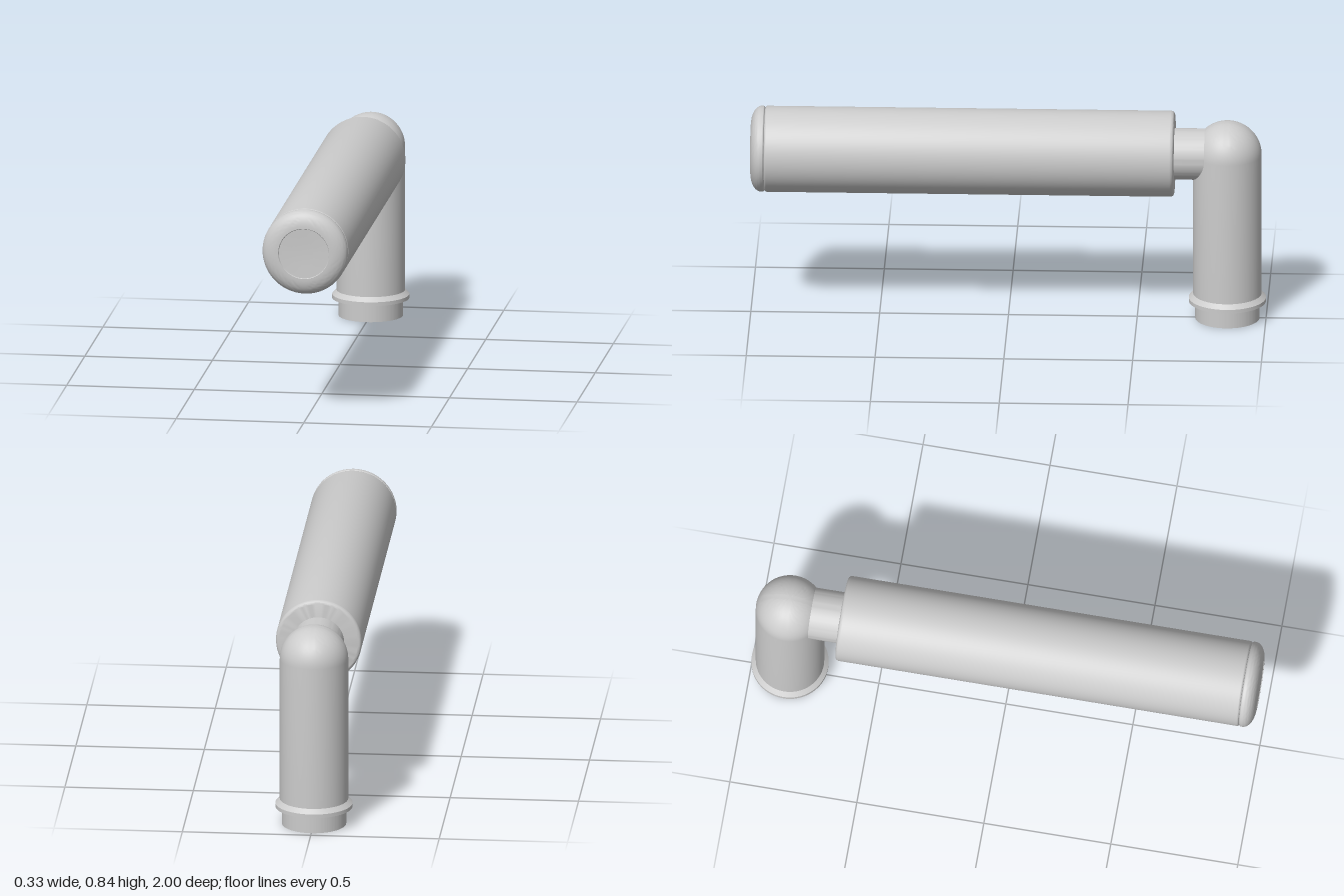
import * as THREE from 'three';
import { toCreasedNormals } from 'three/addons/utils/BufferGeometryUtils.js';

const SEG = 72;
const AXIS_Y = 0.673; // height of the grip axis
const POST_Z = -0.85; // position of the upright post
const POST_R = 0.133;
const GRIP_R = 0.167;

const material = new THREE.MeshStandardMaterial({ color: 0xcccccc });

function addMesh(parent, name, geometry) {
  const mesh = new THREE.Mesh(geometry, material);
  mesh.name = name;
  parent.add(mesh);
  return mesh;
}

// Turned part from [radius, height] pairs, listed from bottom to top
function turned(profile) {
  const points = profile.map(([r, y]) => new THREE.Vector2(r, y));
  return toCreasedNormals(new THREE.LatheGeometry(points, SEG), 0.5);
}

// Elliptical quarter arc between two angles, for rounded edges
function arc(cx, cy, rx, ry, from, to, steps) {
  return Array.from({ length: steps + 1 }, (_, i) => {
    const a = from + ((to - from) * i) / steps;
    return [Math.max(0, cx + rx * Math.cos(a)), cy + ry * Math.sin(a)];
  });
}

export function createModel() {
  const model = new THREE.Group();
  model.name = 'leverHandle';
  const quarter = Math.PI / 2;

  // Upright post with chamfered collar and domed top
  const post = new THREE.Group();
  post.name = 'post';
  post.position.z = POST_Z;
  model.add(post);
  addMesh(post, 'postBody', turned([
    [0.12, 0.07], [0.15, 0.07], [0.15, 0.085], [POST_R, 0.102],
    ...arc(0, AXIS_Y, POST_R, POST_R, 0, quarter, 18),
  ]));

  // Spigot with a square spindle socket
  const socketDepth = 0.3;
  const half = 0.06;
  const ring = new THREE.Shape().absarc(0, 0, 0.125, 0, Math.PI * 2, false);
  ring.holes.push(new THREE.Path([
    [-half, -half], [-half, half], [half, half], [half, -half],
  ].map(([x, y]) => new THREE.Vector2(x, y))));
  const spigot = new THREE.ExtrudeGeometry(ring, {
    depth: socketDepth, bevelEnabled: false, curveSegments: SEG,
  });
  spigot.rotateX(-quarter);
  addMesh(post, 'spigot', toCreasedNormals(spigot, 0.5));
  const socketEnd = addMesh(post, 'socketEnd', new THREE.BoxGeometry(2 * half, 0.02, 2 * half));
  socketEnd.position.y = socketDepth + 0.01;

  // Horizontal lever: its turning axis is laid along +z
  const lever = new THREE.Group();
  lever.name = 'lever';
  lever.position.y = AXIS_Y;
  lever.rotation.x = quarter;
  model.add(lever);

  addMesh(lever, 'neck', turned([[0.1, POST_Z + 0.05], [0.1, -0.63]]));

  // Grip with softened ends
  const soft = 0.015;
  addMesh(lever, 'grip', turned([
    [0, -0.645],
    ...arc(GRIP_R - soft, -0.645 + soft, soft, soft, -quarter, 0, 6),
    ...arc(GRIP_R - 0.008, 0.937, 0.008, 0.008, 0, quarter, 4),
    [0, 0.945],
  ]));

  // End cap: rounded shoulder around a shallow dished face
  addMesh(lever, 'endCap', turned([
    [0.155, 0.942],
    ...arc(GRIP_R - 0.007, 0.953, 0.007, 0.007, -quarter, 0, 4),
    ...arc(0.1, 0.958, GRIP_R - 0.1, 0.042, 0, quarter, 12),
    [0.098, 0.997], [0.05, 0.995], [0, 0.994],
  ]));

  return model;
}
